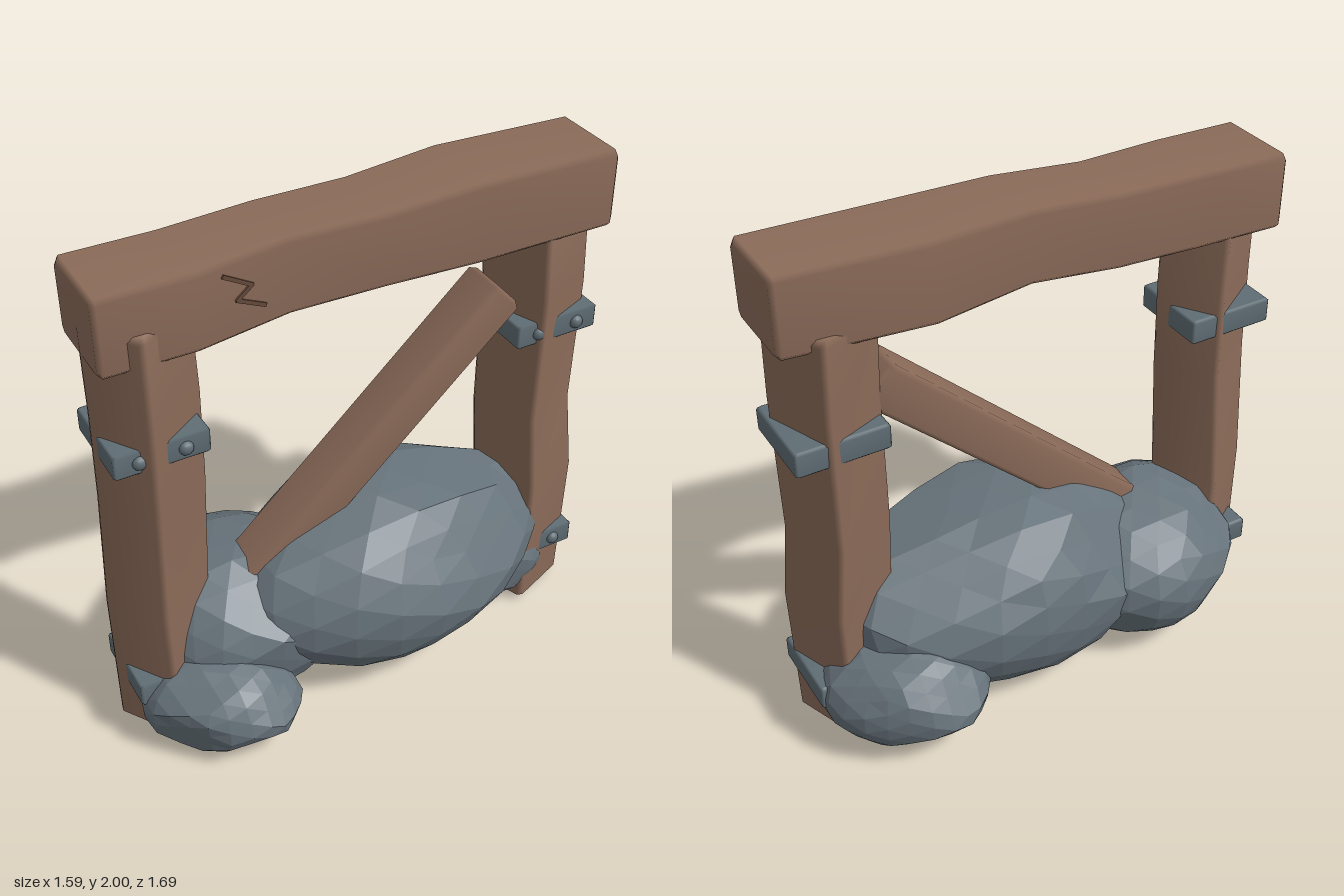
import * as THREE from 'three';

const wood = new THREE.MeshStandardMaterial({ color: 0x8b6b59 });
wood.name = 'brown wood';
const darkWood = new THREE.MeshStandardMaterial({ color: 0x66493a });
darkWood.name = 'dark wood crack';
const stone = new THREE.MeshStandardMaterial({ color: 0x67737b });
stone.name = 'grey stone';
const iron = new THREE.MeshStandardMaterial({ color: 0x5f6d74 });
iron.name = 'grey iron';

function add(parent, name, geometry, material, x = 0, y = 0, z = 0, turn = 0) {
  const mesh = new THREE.Mesh(geometry, material);
  mesh.name = name;
  mesh.position.set(x, y, z);
  mesh.rotation.y = turn;
  parent.add(mesh);
  return mesh;
}

function seeded(seed) {
  let s = seed * 7919 + 13;
  return () => (s = (s * 16807) % 2147483647) / 2147483647;
}

// Bevelled timber along y. Station: [y, centre x, centre z, half width, half depth]
function timber(stations, c = 0.017) {
  const first = stations[0], last = stations[stations.length - 1];
  const inset = ([y, x, z, a, b]) => [y, x, z, a - c, b - c];
  const rings = [
    inset(first),
    [first[0] + c, ...first.slice(1)],
    ...stations.slice(1, -1),
    [last[0] - c, ...last.slice(1)],
    inset(last),
  ];
  const pos = [], idx = [];
  rings.forEach(([y, x, z, a, b]) => {
    const loop = [[a, c - b], [a, b - c], [a - c, b], [c - a, b],
      [-a, b - c], [-a, c - b], [c - a, -b], [a - c, -b]];
    loop.forEach(([u, v]) => pos.push(x + u, y, z + v));
  });
  for (let i = 0; i < rings.length - 1; i++) {
    for (let j = 0; j < 8; j++) {
      const p = i * 8 + j, q = i * 8 + (j + 1) % 8;
      idx.push(p, p + 8, q, q, p + 8, q + 8);
    }
  }
  const top = (rings.length - 1) * 8;
  for (let j = 1; j < 7; j++) idx.push(0, j, j + 1, top, top + j + 1, top + j);
  const g = new THREE.BufferGeometry();
  g.setAttribute('position', new THREE.Float32BufferAttribute(pos, 3));
  g.setIndex(idx);
  g.computeVertexNormals(); // area-weighted: flat faces, soft bevels
  return g;
}

// Faceted boulder: sphere chipped by seeded planes, narrowed towards +x by taper,
// then fitted to the given radii
function boulder(seed, rx, ry, rz, taper) {
  const rnd = seeded(seed);
  rnd();
  const cuts = Array.from({ length: 18 }, () => ({
    n: new THREE.Vector3(rnd() - 0.5, rnd() - 0.5, rnd() - 0.5).normalize(),
    h: 0.86 + rnd() * 0.1,
  }));
  const g = new THREE.IcosahedronGeometry(1, 3);
  const p = g.attributes.position, v = new THREE.Vector3();
  for (let i = 0; i < p.count; i++) {
    v.fromBufferAttribute(p, i).normalize();
    let r = 1 + 0.03 * Math.sin(v.x * 5 + seed) * Math.cos(v.y * 4 - seed) + 0.02 * Math.sin(v.z * 7 + seed * 2);
    for (const { n, h } of cuts) {
      const d = v.dot(n);
      if (d > 0.3) r = Math.min(r, h / d);
    }
    v.multiplyScalar(r);
    p.setXYZ(i, v.x, v.y, v.z * (1 - taper * v.x));
  }
  g.center();
  g.computeBoundingBox();
  const m = g.boundingBox.max;
  g.scale(rx / m.x, ry / m.y, rz / m.z);
  g.computeVertexNormals();
  return g;
}

export function createModel() {
  const model = new THREE.Group();
  model.name = 'mineEntranceFrame';

  // Twisted posts
  add(model, 'leftPost', timber([
    [0.02, -0.01, 0, 0.14, 0.15], [0.6, -0.02, 0.005, 0.135, 0.145],
    [1.1, 0, 0, 0.13, 0.152], [1.45, 0.005, 0, 0.13, 0.15],
    [1.8, 0.005, 0.01, 0.13, 0.142],
  ]), wood, -0.545, 0, 0.553, -0.2);
  add(model, 'rightPost', timber([
    [0.02, 0.01, 0, 0.143, 0.135], [0.6, 0.02, 0, 0.147, 0.14],
    [0.92, -0.01, 0, 0.143, 0.13], [1.45, 0.003, 0.005, 0.147, 0.13],
    [1.76, -0.012, 0, 0.147, 0.13],
  ]), wood, 0.543, 0, -0.545, -0.41);

  // Parts in line with the diagonal frame
  const frame = new THREE.Group();
  frame.name = 'diagonalFrame';
  frame.rotation.y = Math.PI / 4;
  model.add(frame);

  // Wavy top beam: [along, height, depth offset, half height, half depth]
  const beam = timber([
    [-0.96, 1.811, -0.012, 0.144, 0.166], [-0.62, 1.815, -0.004, 0.144, 0.164],
    [-0.28, 1.832, -0.022, 0.141, 0.15], [0.05, 1.85, 0.012, 0.137, 0.156],
    [0.42, 1.846, -0.008, 0.152, 0.172], [0.96, 1.854, 0.02, 0.147, 0.163],
  ].map(([s, y, t, a, b]) => [s, -y, t, a, b]));
  beam.rotateZ(-Math.PI / 2);
  add(frame, 'topBeam', beam, wood);

  // Zigzag crack on the beam front
  const crack = [[-0.53, 1.92], [-0.43, 1.86], [-0.485, 1.82], [-0.385, 1.77]];
  for (let i = 0; i < 3; i++) {
    const [x0, y0] = crack[i], [x1, y1] = crack[i + 1];
    const x = (x0 + x1) / 2;
    const surface = 0.162 - (x + 0.62) * 0.094;
    const line = add(frame, 'beamCrack', new THREE.BoxGeometry(Math.hypot(x1 - x0, y1 - y0) + 0.008, 0.014, 0.009),
      darkWood, x, (y0 + y1) / 2, surface);
    line.rotation.set(0, 0.094, Math.atan2(y1 - y0, x1 - x0), 'YXZ');
  }

  // Slanted brace
  const brace = add(frame, 'brace', timber([[-1.44, 0, 0, 0.085, 0.094], [0, 0, 0, 0.085, 0.094]]), wood, 0.605, 1.475, 0);
  brace.rotation.z = -0.83;

  // Iron collars with bolts on the front
  for (const side of [-1, 1]) {
    for (const y of [0.22, 1.275]) {
      add(frame, 'collar', timber([[0, 0, 0, 0.172, 0.163], [0.095, 0, 0, 0.172, 0.163]], 0.008), iron, side * 0.78, y, -0.006);
      for (const dx of [-0.082, 0.082]) {
        const bolt = add(frame, 'bolt', new THREE.SphereGeometry(0.027, 10, 8), iron, side * 0.78 + dx, y + 0.048, 0.156);
        bolt.scale.z = 0.8;
      }
    }
  }

  // Rock pile: [name, x, y, z, radii x y z, turn, taper]
  const q = Math.PI / 4;
  [
    ['largeRock', 0.105, 0.41, -0.085, 0.68, 0.39, 0.445, q, 0.13],
    ['leftRock', -0.375, 0.325, 0.255, 0.44, 0.315, 0.39, q, 0],
    ['smallFrontRock', -0.32, 0.19, 0.62, 0.3, 0.185, 0.22, 0.15, 0],
    ['backRightRock', 0.305, 0.235, -0.61, 0.315, 0.215, 0.235, 0.1, 0],
    ['smallRightRock', 0.475, 0.2, -0.42, 0.215, 0.195, 0.175, 0.4, 0],
  ].forEach(([name, x, y, z, rx, ry, rz, turn, taper], i) =>
    add(model, name, boulder(i + 3, rx, ry, rz, taper), stone, x, y, z, turn));

  return model;
}
